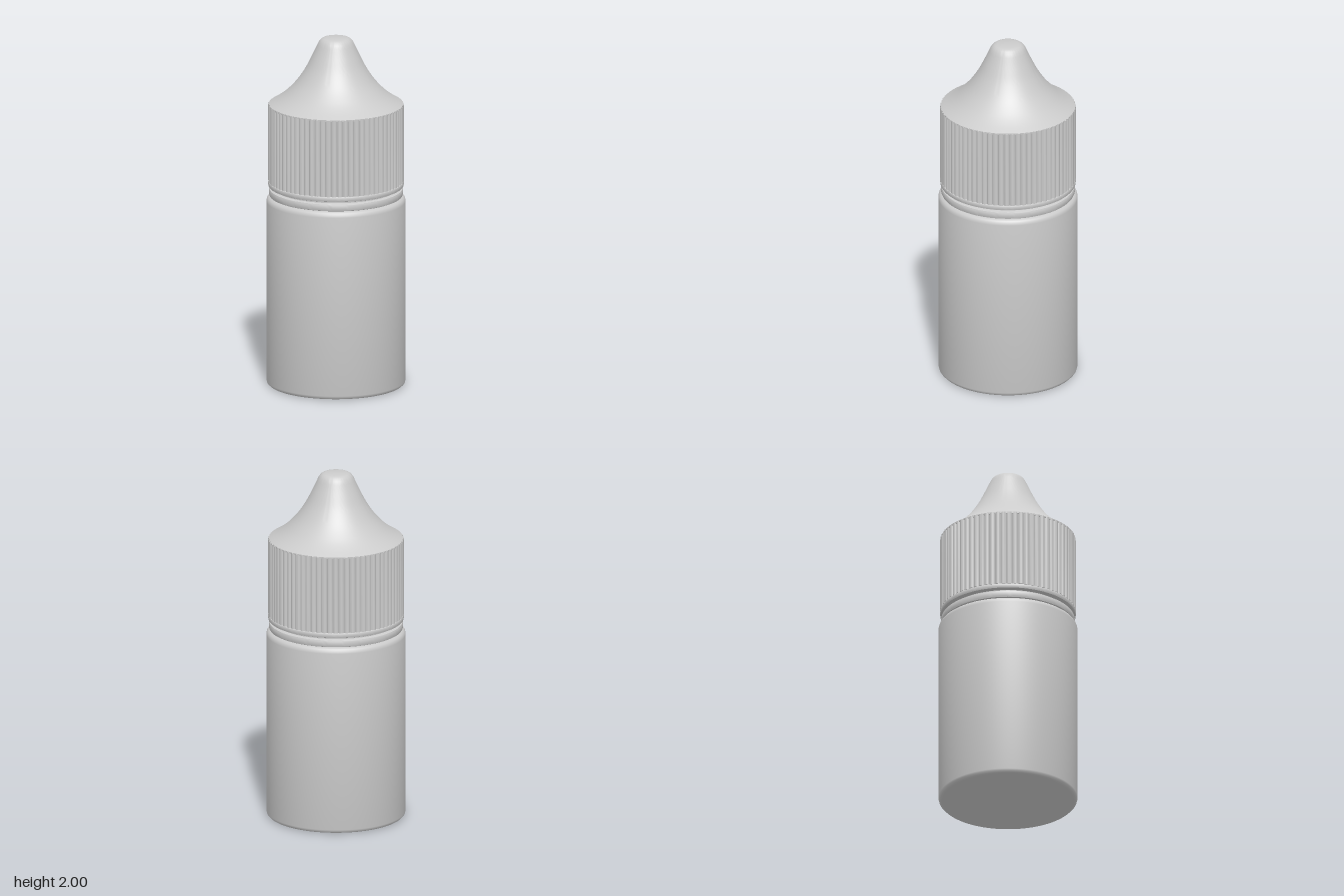
import * as THREE from 'three';
import { toCreasedNormals } from 'three/addons/utils/BufferGeometryUtils.js';

const material = new THREE.MeshStandardMaterial({ color: 0xcccccc });

function addPart(group, name, geometry, crease = 0.6) {
  const mesh = new THREE.Mesh(toCreasedNormals(geometry, crease), material);
  mesh.name = name;
  group.add(mesh);
  return mesh;
}

// Profile of [radius, height] pairs, bottom to top, turned around y
function turned(profile) {
  return new THREE.LatheGeometry(profile.map(([r, y]) => new THREE.Vector2(r, y)), 128);
}

// Ring with softly rounded rims, closed by flat discs
function ring(radius, y0, y1, round) {
  const k = round * 0.3;
  return turned([
    [0, y0], [radius - round, y0], [radius - k, y0 + k], [radius, y0 + round],
    [radius, y1 - round], [radius - k, y1 - k], [radius - round, y1], [0, y1],
  ]);
}

// Gear-like outline with rounded ribs and narrow grooves
function ribbedOutline(ribs, inner, outer) {
  const points = [];
  const steps = 8;
  for (let i = 0; i < ribs * steps; i++) {
    const t = (i % steps) / steps;
    const r = inner + (outer - inner) * Math.sqrt(Math.sin(Math.PI * t));
    const a = (i / (ribs * steps)) * Math.PI * 2;
    points.push(new THREE.Vector2(r * Math.cos(a), r * Math.sin(a)));
  }
  return new THREE.Shape(points);
}

export function createModel() {
  const bottle = new THREE.Group();
  bottle.name = 'dropperBottle';

  // Body with a softened foot and shoulder
  addPart(bottle, 'body', turned([
    [0, 0], [0.368, 0], [0.379, 0.003], [0.387, 0.011], [0.39, 0.022],
    [0.39, 1.055], [0.388, 1.067], [0.382, 1.077], [0.372, 1.084], [0.36, 1.086], [0, 1.086],
  ]));

  // Neck core, seen in the gaps between the rings
  addPart(bottle, 'neck', new THREE.CylinderGeometry(0.347, 0.347, 0.12, 128).translate(0, 1.13, 0));
  addPart(bottle, 'tamperRing', ring(0.375, 1.088, 1.13, 0.008));
  addPart(bottle, 'capRim', ring(0.38, 1.144, 1.172, 0.006));

  // Ribbed cap grip
  const capBottom = 1.172, capTop = 1.615;
  const grip = new THREE.ExtrudeGeometry(ribbedOutline(72, 0.367, 0.38), {
    depth: capTop - capBottom, bevelEnabled: false, curveSegments: 1,
  });
  grip.rotateX(-Math.PI / 2).translate(0, capBottom, 0);
  addPart(bottle, 'capGrip', grip, 0.9);

  // Concave spout rising to a rounded tip
  const flare = new THREE.SplineCurve([
    [0.376, 1.617], [0.325, 1.649], [0.275, 1.69], [0.22, 1.75],
    [0.17, 1.825], [0.132, 1.9], [0.105, 1.958],
  ].map(([r, y]) => new THREE.Vector2(r, y))).getPoints(30).map((p) => [p.x, p.y]);
  addPart(bottle, 'capSpout', turned([
    [0, 1.608], [0.376, 1.608], ...flare,
    [0.097, 1.975], [0.087, 1.988], [0.075, 1.996], [0.06, 2], [0, 2],
  ]));

  return bottle;
}
